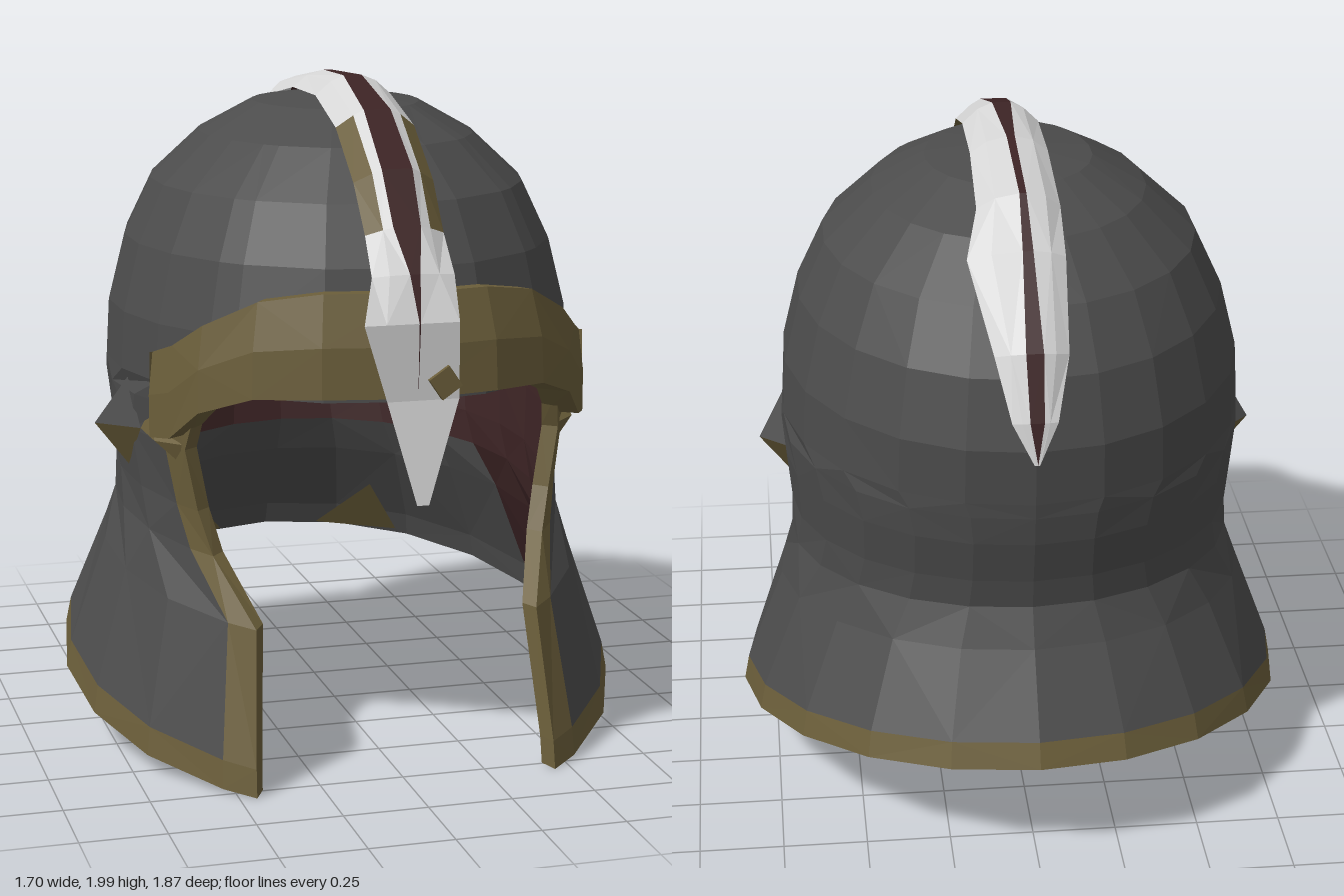
import * as THREE from 'three';

const D = Math.PI / 180;
const lerp = THREE.MathUtils.lerp;

export function createModel() {
  const model = new THREE.Group();
  const makeMaterial = (name, color, side = THREE.FrontSide) => {
    const m = new THREE.MeshStandardMaterial({ color, side });
    m.name = name;
    return m;
  };
  const mats = {
    iron: makeMaterial('dark iron', 0x4c4c4c),
    gold: makeMaterial('dull gold', 0x6b5e3a, THREE.DoubleSide),
    lining: makeMaterial('dark red', 0x3d2425, THREE.DoubleSide),
    white: makeMaterial('crest white', 0xd6d6d6, THREE.DoubleSide),
  };

  // Faceted mesh from a flat list of corner points
  const addFacets = (parent, name, points, mat) => {
    const g = new THREE.BufferGeometry().setFromPoints(points);
    g.computeVertexNormals();
    const mesh = new THREE.Mesh(g, mats[mat]);
    mesh.name = name;
    parent.add(mesh);
  };

  // Grid of quads, split into one mesh per colour
  const addGrid = (name, nu, nv, point, matOf, flip = false) => {
    const buckets = {};
    for (let i = 0; i < nu; i++) for (let j = 0; j < nv; j++) {
      const a = point(i, j), b = point(i + 1, j), c = point(i + 1, j + 1), d = point(i, j + 1);
      const tris = (i + j) % 2 ? [[a, b, c], [a, c, d]] : [[a, b, d], [b, c, d]];
      const list = (buckets[matOf(i, j)] ??= []);
      for (const t of tris) list.push(...(flip ? t.reverse() : t));
    }
    const part = new THREE.Group();
    part.name = name;
    for (const key in buckets) addFacets(part, `${name}_${key}`, buckets[key], key);
    model.add(part);
  };

  // Point on an oval ring with separate front and back depth
  const ring = ([a, front, back], deg, y, off = 0) => {
    const s = Math.sin(deg * D), c = Math.cos(deg * D);
    const depth = Math.max((c > 0 ? front : back) + off, 0);
    return new THREE.Vector3(Math.max(a + off, 0) * s, y(depth * c), depth * c);
  };

  // Skirt rows from rim to brow: radii, opening angle, height rule
  const rimY = z => Math.max(0.16 - 0.2 * z, 0);
  const creaseY = z => 0.69 - 0.1 * z;
  const skirtRows = [
    { r: [0.85, 0.95, 0.95], e: 32, y: rimY },
    { r: [0.835, 0.94, 0.92], e: 32.5, y: z => rimY(z) + 0.08 },
    { r: [0.72, 0.86, 0.775], e: 36, y: z => lerp(rimY(z), creaseY(z), 0.74) },
    { r: [0.68, 0.76, 0.72], e: 48, y: creaseY },
    { r: [0.675, 0.77, 0.735], e: 53, y: z => lerp(creaseY(z), 1.13, 0.25) },
    { r: [0.69, 0.8, 0.77], e: 56, y: z => lerp(creaseY(z), 1.13, 0.62) },
    { r: [0.7, 0.8, 0.785], e: 52, y: z => lerp(creaseY(z), 1.13, 0.87) },
    { r: [0.7, 0.8, 0.79], e: 41, y: () => 1.13 },
  ];
  const N = 18, rows = skirtRows.length - 1, wall = -0.05;
  const skirtAngle = (i, e) => {
    if (i === 0) return e;
    if (i === N) return 360 - e;
    return lerp(e + 7, 353 - e, (i - 1) / (N - 2));
  };
  const skirt = (i, j, off = 0) => {
    const { r, e, y } = skirtRows[j];
    return ring(r, skirtAngle(i, e), y, off);
  };

  // Neck guard and cheek guards, with gold borders and lining
  addGrid('skirt', N, rows, (i, j) => skirt(i, j),
    (i, j) => (i === 0 || i === N - 1 || j === 0 ? 'gold' : 'iron'));
  addGrid('skirtLining', N, rows, (i, j) => skirt(i, j, wall),
    (i, j) => (j < 3 && i > 4 && i < N - 5 ? 'iron' : 'lining'), true);
  addGrid('rimEdge', N, 1, (i, k) => skirt(i, 0, k ? 0 : wall), () => 'gold');
  addGrid('leftOpeningEdge', 1, rows, (k, j) => skirt(0, j, k ? 0 : wall), () => 'gold');
  addGrid('rightOpeningEdge', 1, rows, (k, j) => skirt(N, j, k ? wall : 0), () => 'gold');

  // Domed bowl, sharing the skirt's top ring
  const domeRows = [
    [1.13, 0.7, 0.8, 0.79], [1.3, 0.69, 0.79, 0.8], [1.5, 0.64, 0.74, 0.75], [1.67, 0.56, 0.65, 0.64],
    [1.81, 0.41, 0.5, 0.48], [1.9, 0.25, 0.31, 0.28], [1.94, 0, 0, 0],
  ];
  const domeAngles = [-41, -20, 0, 20];
  for (let i = 0; i <= N; i++) domeAngles.push(skirtAngle(i, 41));
  const dome = (i, j, off = 0) => {
    const [y, ...r] = domeRows[j];
    return ring(r, domeAngles[i], () => y + off * (y - 1.13) / 0.81, off);
  };
  const domeCols = domeAngles.length - 1;
  addGrid('dome', domeCols, domeRows.length - 1, (i, j) => dome(i, j), () => 'iron');
  addGrid('domeLining', domeCols, domeRows.length - 1, (i, j) => dome(i, j, wall), () => 'lining', true);

  // Raised brow band: angle, bottom, top
  const half = [[0, 1.15, 1.44], [20, 1.15, 1.44], [35, 1.14, 1.41], [48, 1.08, 1.33], [56, 0.99, 1.26], [62, 0.98, 1.23]];
  const browCols = [...half.slice(1).reverse().map(([a, b, t]) => [-a, b, t]), ...half];
  const domeRadii = y => {
    const k = domeRows.findIndex(r => r[0] > y);
    if (k <= 0) return domeRows[0].slice(1);
    const lo = domeRows[k - 1], hi = domeRows[k];
    return [1, 2, 3].map(n => lerp(lo[n], hi[n], (y - lo[0]) / (hi[0] - lo[0])));
  };
  const brow = (i, v, off) => {
    const [a, lo, hi] = browCols[i];
    const y = lerp(lo, hi, v);
    return ring(domeRadii(y), a, () => y, off);
  };
  const B = browCols.length - 1, lift = 0.055;
  addGrid('browBand', B, 2, (i, j) => brow(i, j / 2, lift - 0.01 * (j === 2)), () => 'gold');
  addGrid('browUnderside', B, 1, (i, k) => brow(i, 0, k ? lift : wall), () => 'gold');
  addGrid('browTop', B, 1, (i, k) => brow(i, 1, k ? -0.01 : lift - 0.01), () => 'gold');
  addGrid('browRightEnd', 1, 1, (k, j) => brow(0, j, k ? lift : -0.01), () => 'gold');
  addGrid('browLeftEnd', 1, 1, (k, j) => brow(B, j, k ? -0.01 : lift), () => 'gold');

  // Crest stations: z, y, right edge, left edge, red half width, edge sag
  const crest = [
    [0.92, 0.86, -0.015, 0.02, 0, 0], [0.875, 1.15, -0.09, 0.12, 0, 0], [0.89, 1.37, -0.16, 0.115, 0.002, 0],
    [0.84, 1.5, -0.12, 0.12, 0.015, 0.02], [0.76, 1.62, -0.11, 0.12, 0.04, 0.05], [0.66, 1.77, -0.115, 0.12, 0.045, 0.06],
    [0.46, 1.915, -0.115, 0.12, 0.04, 0.06], [0.2, 1.99, -0.11, 0.12, 0.028, 0.06], [-0.08, 1.98, -0.11, 0.12, 0.012, 0.05],
    [-0.42, 1.93, -0.11, 0.13, 0.01, 0.06], [-0.56, 1.81, -0.11, 0.17, 0.015, 0.04], [-0.75, 1.58, -0.1, 0.11, 0.025, 0.04],
    [-0.82, 1.4, -0.06, 0.07, 0.02, 0.01], [-0.84, 1.28, -0.005, 0.01, 0, 0],
  ];
  const crestPoint = (i, j) => {
    const [z, y, x0, x1, red, sag] = crest[j];
    const x = [x0, lerp(x0, 0, 0.4), -red, red, lerp(x1, 0, 0.4), x1][i];
    const drop = i === 0 || i === 5 ? sag : i === 1 || i === 4 ? sag * 0.3 : 0;
    const inward = new THREE.Vector3(0, 1.15 - y, -z).normalize();
    return new THREE.Vector3(x, y, z).addScaledVector(inward, drop);
  };
  addGrid('crest', 5, crest.length - 1, crestPoint, (i, j) => {
    if (i === 2) return 'lining';
    return (i === 0 || i === 4) && j > 3 && j < 6 ? 'gold' : 'white';
  });

  // Small gold stud on the front plume
  const stud = new THREE.Mesh(new THREE.BoxGeometry(0.07, 0.07, 0.03), mats.gold);
  stud.position.set(0.075, 1.2, 0.88);
  stud.rotation.z = 0.6;
  stud.name = 'plumeStud';
  model.add(stud);

  // Side bosses, clasps and inner gold patches, mirrored
  const V = (x, y, z) => new THREE.Vector3(x, y, z);
  for (const side of [1, -1]) {
    const fittings = new THREE.Group();
    fittings.name = side > 0 ? 'leftFittings' : 'rightFittings';
    const apex = V(0.77, 0.96, 0.09), front = V(0.66, 0.97, 0.24), back = V(0.68, 0.98, -0.03);
    const top = V(0.68, 1.11, 0.155), low = V(0.67, 0.83, 0.1);
    addFacets(fittings, 'bossUpper', [apex, top, front, apex, back, top], 'iron');
    addFacets(fittings, 'bossLower', [apex, front, low, apex, low, back], 'gold');
    const tip = V(0.645, 0.96, 0.37), c = [V(0.58, 0.9, 0.41), V(0.66, 0.97, 0.24), V(0.64, 1.02, 0.26), V(0.58, 0.96, 0.44)];
    addFacets(fittings, 'clasp', c.flatMap((p, i) => [tip, p, c[(i + 1) % 4]]), 'gold');
    addFacets(fittings, 'liningPatch', [V(0.17, 0.34, -0.86), V(0.42, 0.33, -0.73), V(0.31, 0.51, -0.67)], 'gold');
    fittings.scale.x = side;
    model.add(fittings);
  }
  return model;
}
